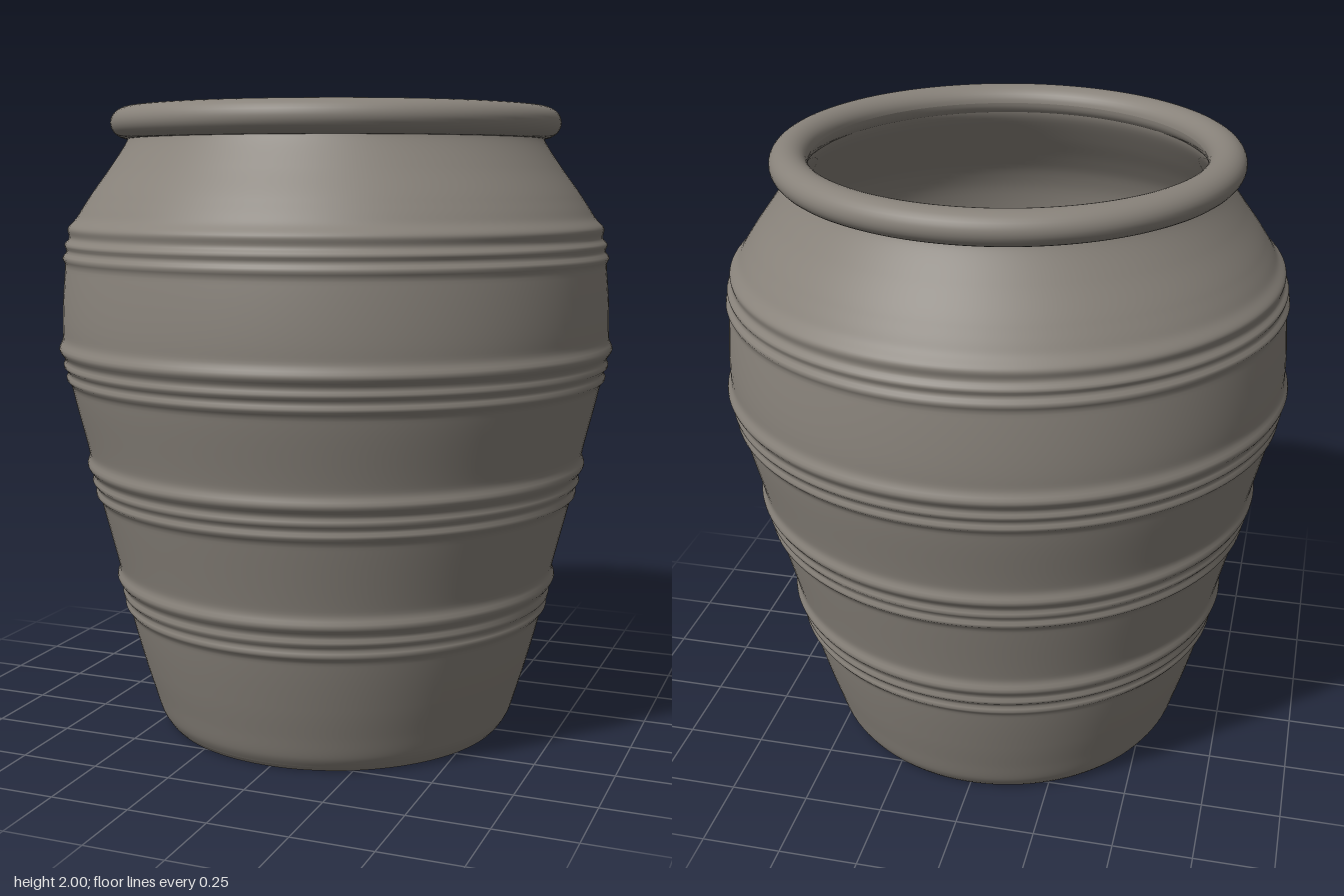
import * as THREE from 'three';

const SEGMENTS = 128;
const HOLE = 0.055;   // drain hole radius
const FLOOR = 0.07;   // height of the inside floor
const WALL = 0.042;   // wall thickness

const stoneware = new THREE.MeshStandardMaterial({ color: 0x88827a });
stoneware.name = 'grey stoneware';

// Turns a list of [radius, height] pairs or Vector2 points around the y axis
function turned(name, profile) {
  const points = profile.map(p => (p.isVector2 ? p : new THREE.Vector2(p[0], p[1])));
  const mesh = new THREE.Mesh(new THREE.LatheGeometry(points, SEGMENTS), stoneware);
  mesh.name = name;
  return mesh;
}

// Smooth belly curve from foot to neck
const belly = new THREE.SplineCurve([
  [0.568, 0.015], [0.588, 0.05], [0.61, 0.12], [0.64, 0.22], [0.677, 0.36],
  [0.718, 0.545], [0.77, 0.755], [0.808, 0.93], [0.855, 1.13], [0.878, 1.3],
  [0.862, 1.53], [0.832, 1.64], [0.785, 1.72], [0.72, 1.81], [0.667, 1.89], [0.655, 1.93],
].map(([r, y]) => new THREE.Vector2(r, y)));

// Each band has one broad ridge above two fine ones: [offset, height, half width]
const bands = [0.495, 0.87, 1.245, 1.625];
const ridges = [[0, 0.016, 0.022], [-0.052, 0.012, 0.013], [-0.093, 0.012, 0.013]];

function ridgeAt(y) {
  let sum = 0;
  for (const band of bands) {
    for (const [offset, height, width] of ridges) {
      sum += height * Math.exp(-(((y - band - offset) / width) ** 2));
    }
  }
  return sum;
}

export function createModel() {
  const pot = new THREE.Group();
  pot.name = 'plantPot';

  // Outer wall with the ridged bands
  const outer = belly.getPoints(300).map(p => new THREE.Vector2(p.x + ridgeAt(p.y), p.y));
  pot.add(turned('outerWall', [[0.555, 0], ...outer]));

  // Smooth inner wall, running downward so it faces inward
  const inner = belly.getPoints(75)
    .filter(p => p.y > FLOOR)
    .map(p => new THREE.Vector2(p.x - WALL, p.y))
    .reverse();
  pot.add(turned('innerWall', [...inner, [0.55, FLOOR]]));

  // Rolled rim
  const rim = [];
  for (let i = 0; i <= 32; i++) {
    const a = Math.PI + (i / 32) * Math.PI * 2;
    rim.push([0.657 + 0.058 * Math.cos(a), 1.95 + 0.05 * Math.sin(a)]);
  }
  pot.add(turned('rim', rim));

  // Floor, underside and drain hole
  pot.add(turned('floor', [[0.55, FLOOR], [HOLE, FLOOR]]));
  pot.add(turned('underside', [[HOLE, 0], [0.555, 0]]));
  pot.add(turned('drainHole', [[HOLE, FLOOR], [HOLE, 0]]));

  return pot;
}
